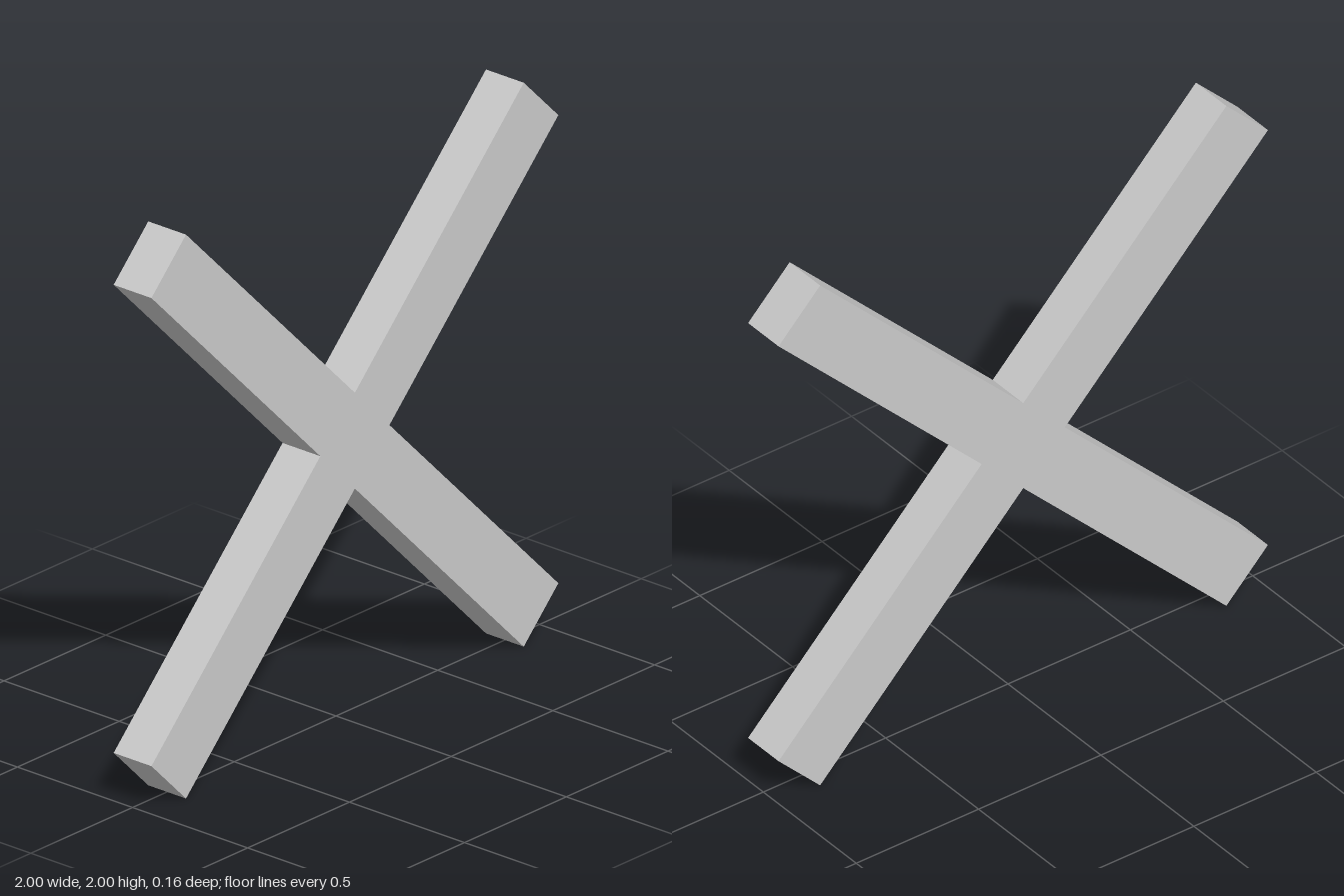
import * as THREE from 'three';

const NOTCH = 0.17;  // distance from the centre to each inner corner
const DEPTH = 0.164;

export function createModel() {
  const group = new THREE.Group();
  group.name = 'diagonalCross';

  // Outline: one inner corner and one square arm end per quarter turn
  const quarter = [[NOTCH, 0], [1, 1 - NOTCH], [1 - NOTCH, 1]];
  const points = [];
  for (let i = 0; i < 4; i++) {
    for (const [x, y] of quarter) {
      points.push(new THREE.Vector2(x, y).rotateAround(new THREE.Vector2(), i * Math.PI / 2));
    }
  }

  // Four arms in one solid, centred in depth and standing on the ground
  const geometry = new THREE.ExtrudeGeometry(new THREE.Shape(points), {
    depth: DEPTH, bevelEnabled: false,
  });
  geometry.translate(0, 1, -DEPTH / 2);

  const cross = new THREE.Mesh(
    geometry,
    new THREE.MeshStandardMaterial({ color: 0xcccccc, flatShading: true })
  );
  cross.name = 'crossedBars';
  group.add(cross);
  return group;
}
